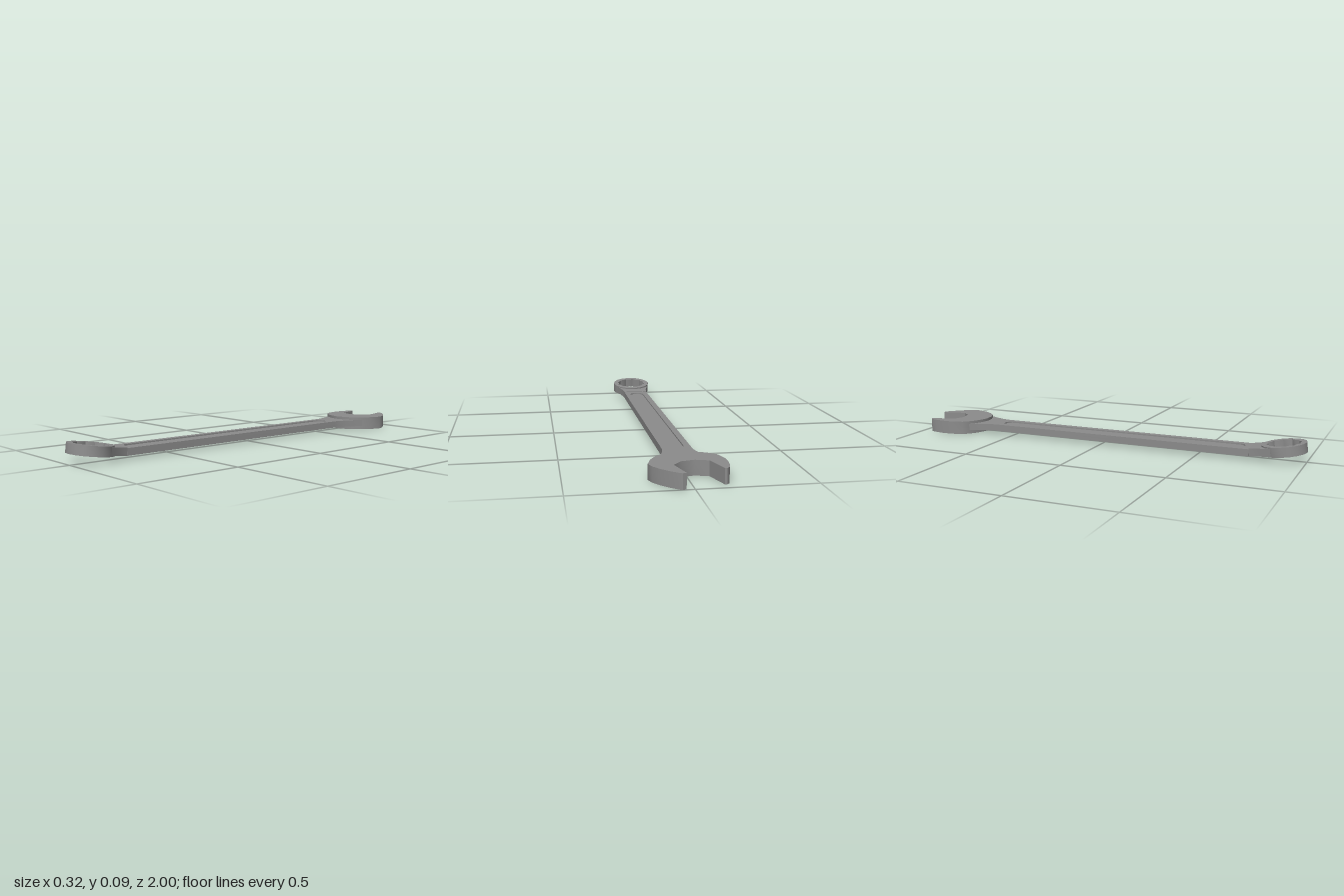
import * as THREE from 'three';
import { toCreasedNormals } from 'three/addons/utils/BufferGeometryUtils.js';

export function createModel() {
  const model = new THREE.Group();
  model.name = 'combinationWrench';
  const steel = new THREE.MeshStandardMaterial({ color: 0x8b8b8b });
  steel.name = 'steel grey';

  // Flat plate from an [x, z] outline, spanning y0 to y1
  const flip = (pts) => pts.map(([x, z]) => new THREE.Vector2(x, -z));
  function plate(name, outline, y0, y1, { hole, crease = 0.6 } = {}) {
    const shape = new THREE.Shape(flip(outline));
    if (hole) shape.holes.push(new THREE.Path(flip(hole)));
    const geo = new THREE.ExtrudeGeometry(shape, { depth: y1 - y0, bevelEnabled: false });
    geo.rotateX(-Math.PI / 2).translate(0, y0, 0);
    const mesh = new THREE.Mesh(toCreasedNormals(geo, crease), steel);
    mesh.name = name;
    return mesh;
  }
  const loop = (n, radius) => Array.from({ length: n }, (_, i) => {
    const a = (i / n) * Math.PI * 2, r = radius(i);
    return [Math.sin(a) * r, Math.cos(a) * r];
  });

  // Open jaw, turned slightly to one side
  model.add(plate('openJaw', [
    [-0.126, -0.955], [-0.136, -0.956], [-0.147, -0.945], [-0.157, -0.91], [-0.162, -0.87], [-0.162, -0.82],
    [-0.145, -0.755], [-0.12, -0.73], [-0.09, -0.71], [-0.05, -0.693], [-0.01, -0.685],
    [0.04, -0.692], [0.08, -0.71], [0.115, -0.745], [0.142, -0.79], [0.161, -0.85],
    [0.149, -0.889], [0.126, -0.925], [0.096, -0.96], [0.06, -0.994], [0.048, -1], [0.033, -0.995],
    [0.062, -0.88], [0.025, -0.835], [-0.035, -0.82], [-0.092, -0.84],
  ], 0, 0.066, { crease: 0.75 }));

  // Handle: solid core between two layers pierced by a long rounded slot
  const handle = [
    [-0.074, 0.748], [-0.074, -0.6], [-0.084, -0.65], [-0.1, -0.695], [-0.122, -0.733], [-0.11, -0.77],
    [0.1, -0.78], [0.118, -0.75], [0.098, -0.712], [0.077, -0.665], [0.064, -0.625], [0.058, -0.59],
    [0.055, 0.748],
  ];
  const slot = [];
  const slotRadius = 0.036;
  for (const [z, start] of [[0.68, 0], [-0.54, Math.PI]]) {
    for (let i = 0; i <= 10; i++) {
      const a = start + (i / 10) * Math.PI;
      slot.push([-0.009 - Math.cos(a) * slotRadius, z + Math.sin(a) * slotRadius]);
    }
  }
  model.add(plate('handleCore', handle, 0.0245, 0.0455));
  model.add(plate('handleTop', handle, 0.0455, 0.052, { hole: slot }));
  model.add(plate('handleBottom', handle, 0.018, 0.0245, { hole: slot }));

  // Ring end, tilted upward together with its flared neck
  const ringEnd = new THREE.Group();
  ringEnd.name = 'ringEnd';
  ringEnd.position.set(-0.0035, 0.058, 0.897);
  ringEnd.rotation.x = -0.13;
  ringEnd.add(plate('ring', loop(16, () => 0.104), -0.023, 0.023,
    { hole: loop(24, (i) => (i % 2 ? 0.081 : 0.073)) }));
  ringEnd.add(plate('neck', [
    [-0.07, -0.15], [-0.073, -0.12], [-0.083, -0.08], [-0.094, -0.037], [-0.086, -0.03],
    [-0.075, -0.05], [-0.045, -0.078], [0, -0.09], [0.045, -0.078], [0.075, -0.05],
    [0.086, -0.03], [0.094, -0.037], [0.076, -0.08], [0.063, -0.12], [0.058, -0.15],
  ], -0.0205, 0.0165));
  model.add(ringEnd);

  return model;
}
